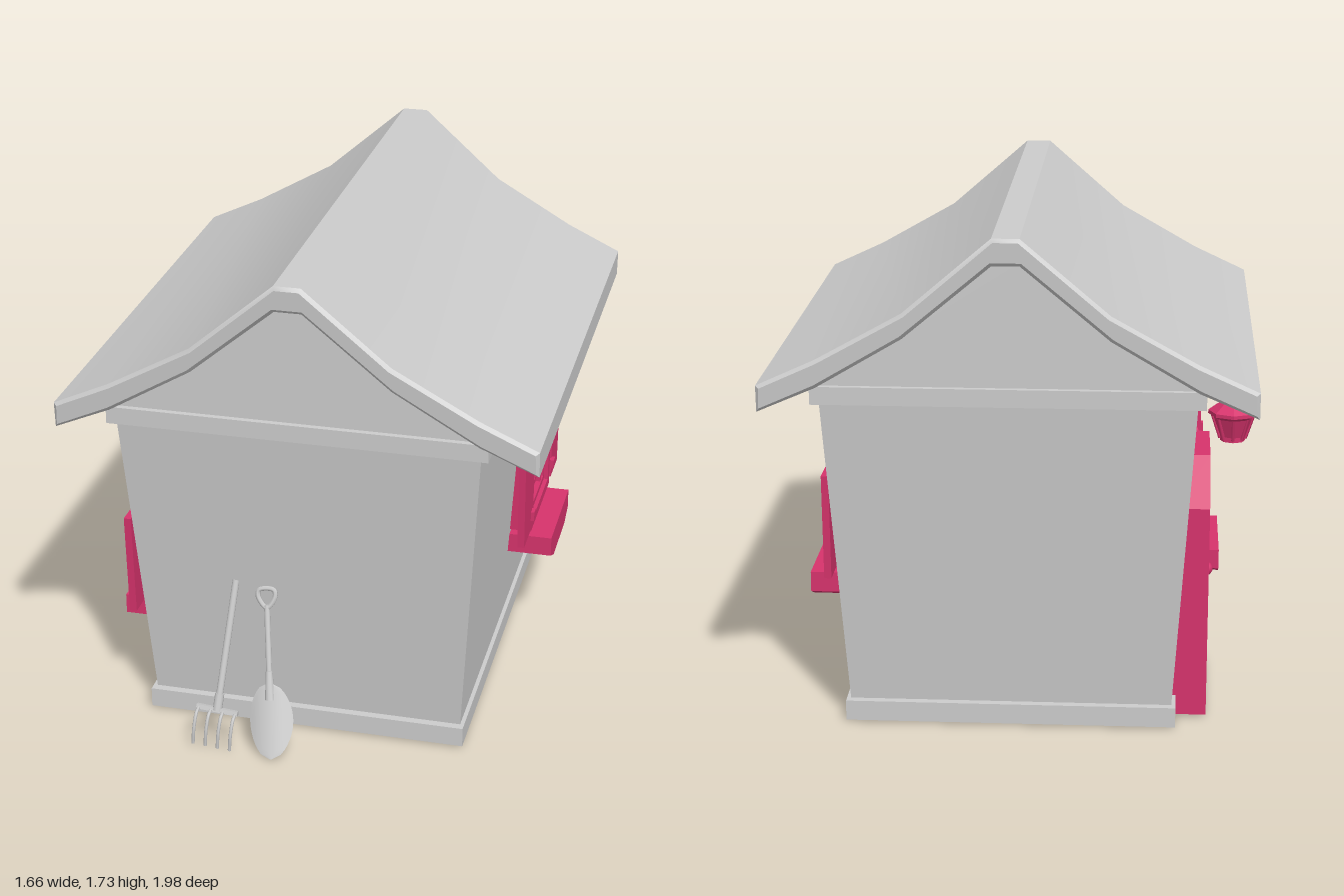
import * as THREE from 'three';
import { toCreasedNormals } from 'three/addons/utils/BufferGeometryUtils.js';

const grey = new THREE.MeshStandardMaterial({ color: 0xcccccc, side: THREE.DoubleSide });
const pink = new THREE.MeshStandardMaterial({ color: 0xd6336c, side: THREE.DoubleSide });
const CX = 0.0175, CZ = -0.031; // centre of the house

function add(parent, name, geo, mat, x = 0, y = 0, z = 0) {
  const m = new THREE.Mesh(geo, mat);
  m.name = name;
  m.position.set(x, y, z);
  parent.add(m);
  return m;
}
function group(parent, name, x = 0, y = 0, z = 0) {
  const g = new THREE.Group();
  g.name = name;
  g.position.set(x, y, z);
  parent.add(g);
  return g;
}
const box = (w, h, d) => new THREE.BoxGeometry(w, h, d);
const flat = (geo) => toCreasedNormals(geo, 0.3);

// Four-sided block with different half sizes [x, z] at bottom and top
function frustum(bottom, top, y0, y1, open = false) {
  const g = new THREE.CylinderGeometry(1, 1, 1, 4, 1, open).rotateY(Math.PI / 4);
  const p = g.attributes.position;
  for (let i = 0; i < p.count; i++) {
    const up = p.getY(i) > 0, s = up ? top : bottom;
    const sx = Math.abs(p.getX(i)) < 0.01 ? 0 : Math.sign(p.getX(i));
    const sz = Math.abs(p.getZ(i)) < 0.01 ? 0 : Math.sign(p.getZ(i));
    p.setXYZ(i, sx * s[0], up ? y1 : y0, sz * s[1]);
  }
  return flat(g);
}
const poly = (pts) => new THREE.Shape(pts.map((p) => new THREE.Vector2(...p)));
// Outline from its right half, listed bottom to top
const mirrored = (half) => [...half, ...half.map(([x, y]) => [-x, y]).reverse()];
const rect = (w, y0, y1) => mirrored([[w, y0], [w, y1]]);
// Extrude an outline (and hole) towards +x
function sideways(outline, x0, x1, hole) {
  const s = poly(outline);
  if (hole) s.holes.push(poly(hole));
  return new THREE.ExtrudeGeometry(s, { depth: x1 - x0, bevelEnabled: false })
    .rotateY(Math.PI / 2).translate(x0, 0, 0);
}
function ring(hx, hz, t, h) {
  const s = poly(rect(hx, -hz, hz));
  s.holes.push(poly(rect(hx - t, t - hz, hz - t)));
  return new THREE.ExtrudeGeometry(s, { depth: h, bevelEnabled: false }).rotateX(-Math.PI / 2);
}

function buildHouse(parent) {
  const house = group(parent, 'house', CX, 0, CZ);
  add(house, 'walls', frustum([0.544, 0.751], [0.618, 0.866], 0.02, 1.18, true), grey);
  add(house, 'baseTrim', ring(0.5625, 0.786, 0.032, 0.07), grey, 0, 0.02);
  add(house, 'topTrim', ring(0.645, 0.89, 0.04, 0.06), grey, 0, 1.17);

  const under = [[0.62, 1.235], [0.335, 1.405], [0.045, 1.65]];
  const gable = poly(mirrored([[0.63, 1.21], ...under]));
  for (const s of [1, -1])
    add(house, 'gable', new THREE.ExtrudeGeometry(gable, { depth: 0.02, bevelEnabled: false }),
      grey, 0, 0, s * 0.86 - 0.01);

  // Roof: swept profile whose ends lean outwards with height
  const right = [[0.815, 1.15], [0.815, 1.24], [0.62, 1.33], [0.335, 1.49], [0.045, 1.74]];
  const left = right.map(([x, y]) => [-x, y]).reverse();
  const inner = [...under.map(([x, y]) => [-x, y]), ...[...under].reverse()];
  const b = 0.012, half = 0.925;
  const roof = new THREE.ExtrudeGeometry(poly([...right, ...left, ...inner]), {
    depth: 2 * (half - b), bevelThickness: b, bevelSize: b, bevelOffset: -b, bevelSegments: 1,
  }).translate(0, 0, b - half);
  const p = roof.attributes.position;
  for (let i = 0; i < p.count; i++)
    p.setZ(i, p.getZ(i) * (1 + 0.044 * (p.getY(i) - 1.15) / 0.59));
  add(house, 'roof', toCreasedNormals(roof, 0.55), grey);
}

// Window facing +x, with shutters and a planter
function buildWindow(parent, name, x, y, z, turn) {
  const w = group(parent, name, x, y, z);
  w.rotation.y = turn;
  add(w, 'windowFrame', sideways(mirrored([[0.205, 0.45], [0.215, 0.87]]), 0.57, 0.65,
    mirrored([[0.168, 0.485], [0.178, 0.825]])), pink);
  add(w, 'innerFrame', sideways(rect(0.178, 0.48, 0.83), 0.59, 0.635,
    rect(0.152, 0.505, 0.8)), pink);
  add(w, 'pane', box(0.02, 0.34, 0.35), pink, 0.604, 0.655);
  for (const s of [1, -1]) {
    add(w, 'verticalBar', box(0.02, 0.33, 0.014), pink, 0.622, 0.655, s * 0.108);
    add(w, 'horizontalBar', box(0.02, 0.014, 0.34), pink, 0.622, 0.6625 + s * 0.083, 0);
    const shutter = poly([[0.222, 0.47], [0.375, 0.47], [0.396, 0.845], [0.232, 0.845]]
      .map(([u, v]) => [s * u, v]));
    add(w, 'shutter', new THREE.ExtrudeGeometry(shutter, { depth: 0.025, bevelEnabled: false })
      .rotateY(Math.PI / 2), pink, 0.628);
    for (const h of [0.53, 0.79])
      add(w, 'shutterHinge', box(0.035, 0.035, 0.035), pink, 0.648, h, s * 0.223);
  }
  // Sloping head above the frame
  add(w, 'pediment', frustum([0.055, 0.222], [0.02, 0.115], 0.865, 0.935), pink, 0.6);
  add(w, 'planter', sideways(mirrored([[0.13, 0.325], [0.205, 0.358], [0.205, 0.43]]),
    0.545, 0.727), pink);
}

function buildDoor(parent) {
  const d = group(parent, 'door', 0, 0, -0.44);
  d.rotation.y = Math.PI;
  const arch = (i, y0) => mirrored([[0.262 - i, y0], [0.262 - i, 0.765 - i * 0.4], [0.145 - i * 0.5, 0.92 - i]]);
  add(d, 'doorFrame', sideways(arch(0, 0.02), 0.53, 0.65,
    arch(0.05, 0.021)), pink);
  add(d, 'doorPanel', sideways(arch(0.045, 0.025), 0.56, 0.618), pink);
  for (const y of [0.37, 0.59])
    add(d, 'strapHinge', box(0.02, 0.028, 0.17), pink, 0.624, y, 0.13);
  add(d, 'doorKnob', new THREE.SphereGeometry(0.025, 12, 8), pink, 0.648, 0.41, -0.14);
  add(d, 'knobStem', new THREE.CylinderGeometry(0.012, 0.012, 0.04, 8).rotateZ(Math.PI / 2),
    pink, 0.625, 0.41, -0.14);
}

function buildLamp(parent) {
  const l = group(parent, 'wallLamp', -0.74, 0, -0.036);
  add(l, 'wallPlate', new THREE.CylinderGeometry(0.036, 0.036, 0.025, 8).rotateZ(Math.PI / 2),
    pink, 0.135, 1.105);
  const path = new THREE.CurvePath();
  const pts = [[0.14, 1.105], [0.035, 1.105], [0, 1.07], [0, 0.99]].map((p) => new THREE.Vector3(...p, 0));
  for (let i = 0; i < 3; i++) path.add(new THREE.LineCurve3(pts[i], pts[i + 1]));
  add(l, 'arm', new THREE.TubeGeometry(path, 24, 0.008, 6), pink);
  const profile = [[0, 1.002], [0.025, 1.002], [0.035, 0.958], [0.042, 0.958], [0.09, 0.925],
    [0.09, 0.912], [0.072, 0.9], [0.046, 0.83], [0.046, 0.812], [0, 0.812]];
  add(l, 'lantern', flat(new THREE.LatheGeometry(
    profile.map((p) => new THREE.Vector2(...p)).reverse(), 8)), pink);
  // Bars around the glass
  for (let i = 0; i < 8; i++) {
    const a = (i * Math.PI) / 4;
    const curve = new THREE.LineCurve3(
      new THREE.Vector3(0.074 * Math.sin(a), 0.905, 0.074 * Math.cos(a)),
      new THREE.Vector3(0.046 * Math.sin(a), 0.82, 0.046 * Math.cos(a)));
    add(l, 'lanternBar', new THREE.TubeGeometry(curve, 1, 0.006, 4), pink);
  }
}

const rod = (r, y0, y1) => new THREE.CylinderGeometry(r, r, y1 - y0, 10).translate(0, (y0 + y1) / 2, 0);

function buildTools(parent) {
  // Garden fork
  const fork = group(parent, 'gardenFork', -0.262, 0.01, 0.962);
  fork.rotation.set(-0.32, 0, -0.075);
  add(fork, 'forkHandle', rod(0.012, 0.19, 0.605), grey);
  add(fork, 'forkSocket', rod(0.016, 0.14, 0.2), grey);
  add(fork, 'forkBar', box(0.148, 0.016, 0.018), grey, 0, 0.142);
  for (let i = 0; i < 4; i++) {
    const x = -0.066 + i * 0.044;
    const c = new THREE.CatmullRomCurve3([[0.142, 0], [0.125, 0.025], [0.07, 0.03], [0.012, 0.012]]
      .map(([y, z]) => new THREE.Vector3(x, y, z)));
    add(fork, 'forkTine', new THREE.TubeGeometry(c, 10, 0.006, 6), grey);
  }

  // Shovel with a dished blade
  const shovel = group(parent, 'shovel', -0.045, 0.008, 0.965);
  shovel.rotation.set(-0.32, 0, 0.105);
  const blade = new THREE.PlaneGeometry(2, 1, 10, 16);
  const p = blade.attributes.position;
  for (let i = 0; i < p.count; i++) {
    const t = p.getY(i) + 0.5;
    const w = 0.074 * Math.pow(Math.max(0, Math.sin(Math.PI * t)), 0.5) + 0.003;
    const x = p.getX(i) * w;
    p.setXYZ(i, x, t * 0.265, 0.018 - 4 * x * x - 0.015 * t);
  }
  blade.computeVertexNormals();
  add(shovel, 'shovelBlade', blade, grey);
  add(shovel, 'shovelSocket', new THREE.CylinderGeometry(0.012, 0.017, 0.1, 10), grey, 0, 0.255);
  add(shovel, 'shovelShaft', rod(0.01, 0.25, 0.535), grey);
  const grip = new THREE.CatmullRomCurve3([[0, 0.525], [0.03, 0.565], [0.026, 0.588], [-0.026, 0.588], [-0.03, 0.565]]
    .map(([x, y]) => new THREE.Vector3(x, y, 0)), true);
  add(shovel, 'shovelGrip', new THREE.TubeGeometry(grip, 28, 0.009, 6, true), grey);
}

export function createModel() {
  const model = new THREE.Group();
  model.name = 'gardenShed';
  buildHouse(model);
  buildWindow(model, 'rightWindow', CX, 0, -0.27, 0);
  buildWindow(model, 'leftWindow', CX + 0.005, -0.1, 0.33, Math.PI);
  buildDoor(model);
  buildLamp(model);
  buildTools(model);
  return model;
}
